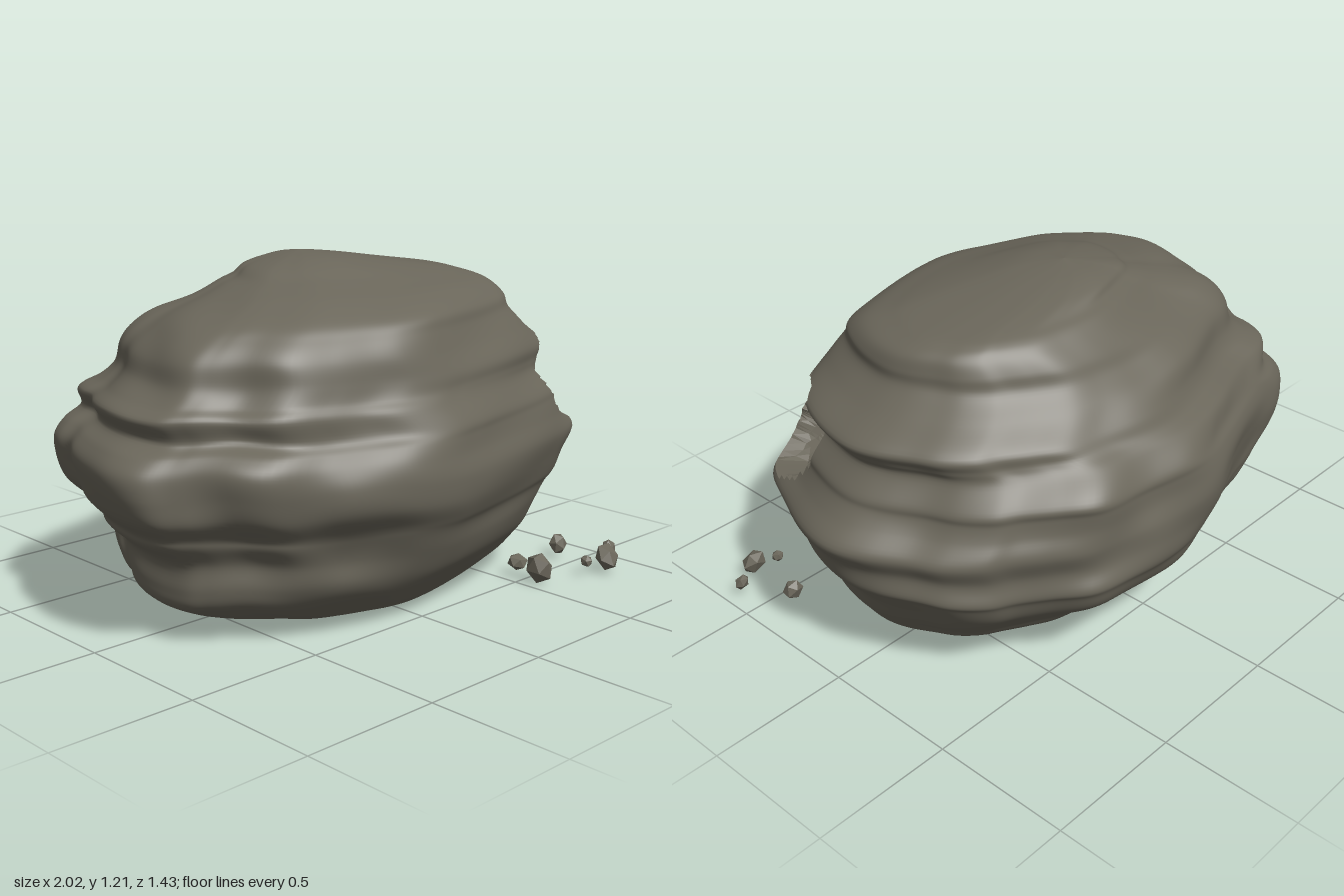
import * as THREE from 'three';

const stone = new THREE.MeshStandardMaterial({ color: 0x6a665a });
stone.name = 'stone';

// Boulder levels: height, left and right x, front and back z
const LEVELS = [
  [0.035, -0.53, 0.62, 0.42, -0.38], [0.06, -0.61, 0.69, 0.45, -0.42],
  [0.10, -0.72, 0.77, 0.49, -0.46], [0.15, -0.80, 0.81, 0.54, -0.51],
  [0.21, -0.81, 0.85, 0.59, -0.58], [0.29, -0.80, 0.88, 0.63, -0.67],
  [0.36, -0.87, 0.93, 0.65, -0.70], [0.40, -0.89, 0.96, 0.67, -0.715],
  [0.47, -0.97, 0.96, 0.70, -0.715], [0.55, -1.0, 0.995, 0.705, -0.72],
  [0.62, -1.0, 0.94, 0.69, -0.715], [0.67, -0.95, 0.91, 0.68, -0.71],
  [0.71, -0.88, 0.90, 0.67, -0.70], [0.78, -0.92, 0.84, 0.64, -0.65],
  [0.82, -0.87, 0.86, 0.62, -0.60], [0.87, -0.82, 0.88, 0.61, -0.57],
  [0.94, -0.79, 0.77, 0.58, -0.53], [1.0, -0.72, 0.69, 0.55, -0.47],
  [1.05, -0.64, 0.68, 0.52, -0.43], [1.1, -0.51, 0.66, 0.43, -0.37],
  [1.13, -0.42, 0.61, 0.33, -0.33], [1.15, -0.35, 0.53, 0.26, -0.29],
  [1.18, -0.27, 0.28, 0.16, -0.25], [1.205, -0.15, 0.09, 0.06, -0.18],
  [1.22, -0.04, -0.04, -0.07, -0.07],
];

// Plan outline, counter-clockwise seen from above
const PLAN = [
  [1, 0], [0.97, -0.12], [0.9, -0.25], [0.85, -0.36], [0.77, -0.45], [0.68, -0.5],
  [0.58, -0.57], [0.46, -0.65], [0.3, -0.68], [0.15, -0.71], [0, -0.72], [-0.12, -0.7],
  [-0.25, -0.65], [-0.4, -0.59], [-0.55, -0.55], [-0.7, -0.53], [-0.8, -0.47],
  [-0.84, -0.38], [-0.85, -0.29], [-0.92, -0.18], [-0.97, -0.05], [-1, 0.1],
  [-0.98, 0.22], [-0.9, 0.29], [-0.78, 0.37], [-0.67, 0.5], [-0.5, 0.57], [-0.35, 0.62],
  [-0.2, 0.68], [-0.05, 0.7], [0.1, 0.68], [0.25, 0.65], [0.45, 0.61], [0.62, 0.57],
  [0.75, 0.53], [0.85, 0.46], [0.93, 0.3], [0.98, 0.15],
];

const curve = (points, closed) =>
  new THREE.CatmullRomCurve3(points.map((p) => new THREE.Vector3(...p)), closed, 'catmullrom', 0.5);

// Soft lumps, stretched along x like rock strata
function lumps(x, y, z) {
  const w = Math.sin(x * 3.1 + z * 2.3 + y * 2);
  return 0.5 * Math.sin(y * 15 + w * 1.8 + x * 1.5 - z * 2)
    + 0.4 * Math.sin(x * 6 + z * 8 - y * 5 + w)
    + 0.3 * Math.sin(z * 15 + y * 9 + x * 4 + 2 * w)
    + 0.25 * Math.sin(x * 12 - y * 17 + w * 2 + 1);
}

// Faceted pit carved out of the boulder
const PIT = new THREE.Vector3(0.77, 0.73, 0.41);
const PIT_OUT = new THREE.Vector3(0.7, 0.25, 0.67).normalize();
function pitPlanes() {
  const geo = new THREE.IcosahedronGeometry(0.18, 1);
  geo.rotateX(0.4).rotateZ(0.7);
  const a = geo.attributes.position;
  const planes = [];
  for (let i = 0; i < a.count; i += 3) {
    const tri = new THREE.Triangle(...[0, 1, 2].map((k) => new THREE.Vector3().fromBufferAttribute(a, i + k)));
    const n = tri.getNormal(new THREE.Vector3());
    planes.push({ n, d: n.dot(tri.a) });
  }
  return planes;
}

function makeBoulder() {
  const around = 240, rows = 150;
  const plan = curve(PLAN.map(([x, z]) => [x, 0, z]), true);
  const sides = curve(LEVELS.map((l) => [l[0], l[1], l[2]]));
  const depths = curve(LEVELS.map((l) => [l[0], l[3], l[4]]));
  const planes = pitPlanes();
  const pos = [], inPit = [];

  for (let i = 0; i <= rows; i++) {
    const s = sides.getPoint(i / rows), d = depths.getPoint(i / rows);
    const fade = Math.min(1, i / 14, (rows - i) / 18);
    for (let j = 0; j < around; j++) {
      const o = plan.getPoint(j / around);
      const u = o.x, v = (o.z + 0.01) / 0.71;
      // Round the outline a little towards the top and base
      const k = THREE.MathUtils.lerp(1, 0.96 / Math.hypot(u, v), 0.55 * Math.min(1, Math.abs(s.x - 0.55) * 1.6));
      const x = (s.y + s.z) / 2 + ((s.z - s.y) / 2) * u * k;
      const z = (d.y + d.z) / 2 + ((d.y - d.z) / 2) * v * k;
      const n = fade * lumps(x, s.x, z);
      const p = new THREE.Vector3(x * (1 + 0.018 * n), s.x + 0.008 * n, z * (1 + 0.025 * n));
      // Push points inside the pit through to its far wall
      const rel = p.clone().sub(PIT);
      const inside = planes.every((f) => f.n.dot(rel) < f.d);
      if (inside) {
        let t = Infinity;
        for (const f of planes) {
          const speed = -f.n.dot(PIT_OUT);
          if (speed > 1e-4) t = Math.min(t, (f.d - f.n.dot(rel)) / speed);
        }
        p.addScaledVector(PIT_OUT, -t);
      }
      inPit.push(inside);
      pos.push(p.x, p.y, p.z);
    }
  }

  const skin = [], pit = [], base = [];
  const add = (a, b, c) => (inPit[a] || inPit[b] || inPit[c] ? pit : skin).push(a, b, c);
  for (let i = 0; i < rows; i++) {
    for (let j = 0; j < around; j++) {
      const a = i * around + j, b = i * around + (j + 1) % around;
      add(a, b, a + around);
      add(b, b + around, a + around);
    }
  }
  for (let j = 1; j < around - 1; j++) base.push(0, j + 1, j);

  const build = (name, index, flat) => {
    let geo = new THREE.BufferGeometry();
    geo.setAttribute('position', new THREE.Float32BufferAttribute(pos, 3));
    geo.setIndex(index);
    if (flat) geo = geo.toNonIndexed();
    geo.computeVertexNormals();
    const mesh = new THREE.Mesh(geo, stone);
    mesh.name = name;
    return mesh;
  };
  const group = new THREE.Group();
  group.name = 'boulder';
  group.add(build('boulderSkin', skin, false), build('chippedPit', pit, true), build('flatBase', base, true));
  return group;
}

// Loose chips: x, y, z, then half sizes
const CHIPS = [
  [0.56, 0.065, 0.56, 0.045, 0.06, 0.055],
  [0.56, 0.065, 0.46, 0.035, 0.03, 0.04],
  [0.75, 0.065, 0.63, 0.024, 0.022, 0.024],
  [0.835, 0.07, 0.66, 0.052, 0.038, 0.057],
  [0.94, 0.068, 0.595, 0.03, 0.023, 0.032],
  [0.84, 0.065, 0.43, 0.042, 0.032, 0.04],
];

export function createModel() {
  const model = new THREE.Group();
  model.name = 'rock';
  model.add(makeBoulder());

  const chips = new THREE.Group();
  chips.name = 'looseChips';
  const chipGeo = new THREE.IcosahedronGeometry(1, 0);
  CHIPS.forEach(([x, y, z, sx, sy, sz], i) => {
    const chip = new THREE.Mesh(chipGeo, stone);
    chip.name = `chip${i + 1}`;
    chip.position.set(x, y, z);
    chip.scale.set(sx, sy, sz);
    chip.rotation.set(0.3 * i, 0.9 * i, 0.2);
    chips.add(chip);
  });
  model.add(chips);
  return model;
}
